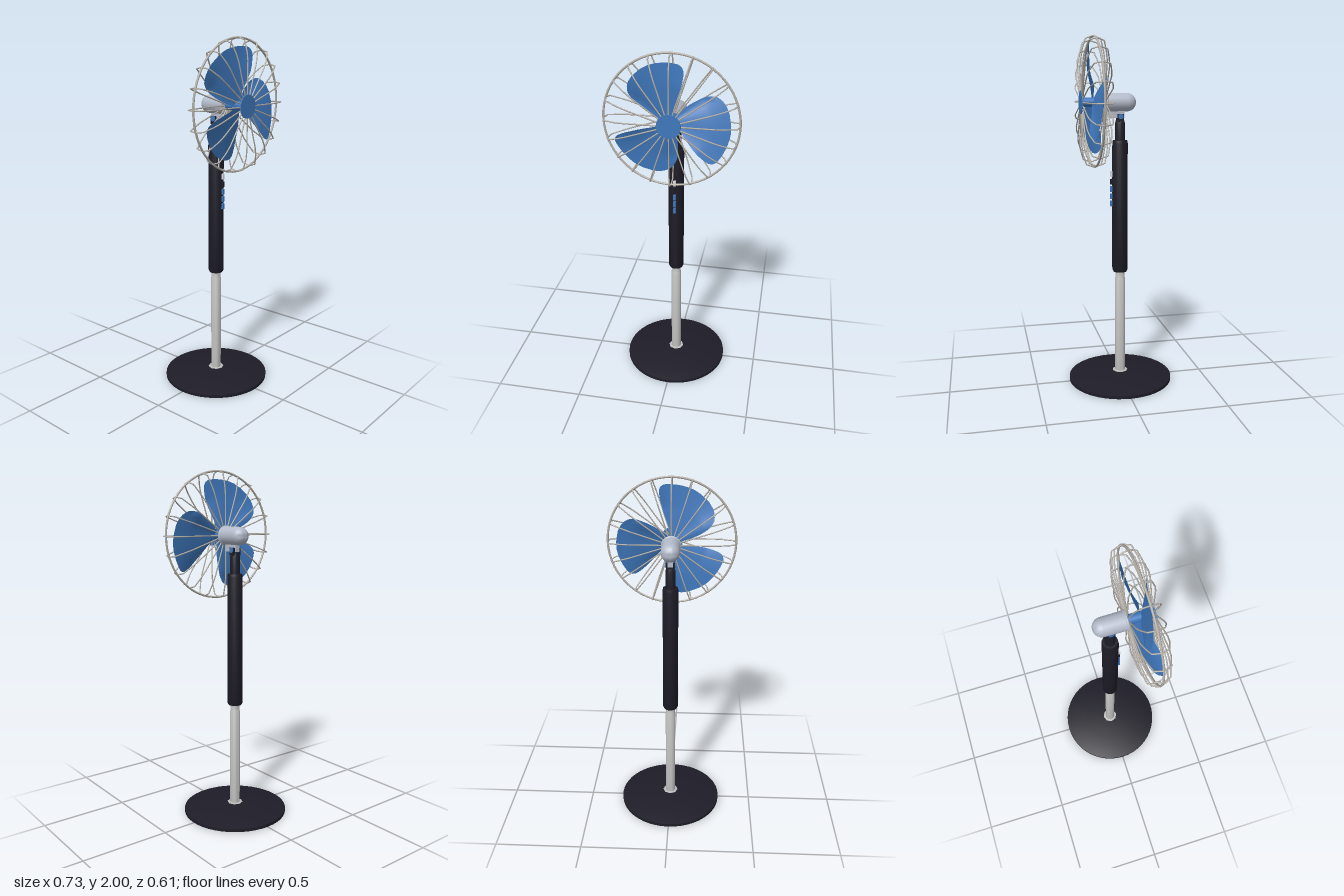
import * as THREE from 'three';
import { mergeGeometries, toCreasedNormals } from 'three/addons/utils/BufferGeometryUtils.js';

const mat = (name, color, side = THREE.FrontSide) => {
  const m = new THREE.MeshStandardMaterial({ color, side });
  m.name = name;
  return m;
};

// Solid of revolution around y from [radius, y] pairs, listed bottom to top
const lathe = (pts, seg = 32) =>
  toCreasedNormals(new THREE.LatheGeometry(pts.map(p => new THREE.Vector2(...p)), seg), 0.6);

// Straight rod between two points
function rod(a, b, r) {
  const d = b.clone().sub(a);
  const g = new THREE.CylinderGeometry(r, r, d.length(), 6);
  g.applyQuaternion(new THREE.Quaternion().setFromUnitVectors(new THREE.Vector3(0, 1, 0), d.normalize()));
  const m = a.clone().add(b).multiplyScalar(0.5);
  return g.translate(m.x, m.y, m.z);
}

// Linear interpolation in a short table of [x, a, b] rows
function lookup(rows, x, k) {
  let i = 0;
  while (i < rows.length - 2 && x > rows[i + 1][0]) i++;
  const t = (x - rows[i][0]) / (rows[i + 1][0] - rows[i][0]);
  return rows[i][k] + t * (rows[i + 1][k] - rows[i][k]);
}

// Twisted blade: a polar grid whose leading edge swings forward
function bladeGeometry() {
  const NR = 20, NA = 18, R0 = 0.02, R1 = 0.313;
  // radius, leading angle, trailing angle (degrees)
  const edges = [[0.02, -45, 60], [0.07, -42, 50], [0.13, -46, 44], [0.18, -47, 40], [0.23, -46.5, 36],
    [0.265, -45.5, 31], [0.285, -44.5, 25], [0.298, -43, 18], [0.306, -41.5, 9], [0.313, -38, -8]];
  const g = new THREE.PlaneGeometry(1, 1, NA, NR);
  const p = g.attributes.position;
  for (let i = 0; i < p.count; i++) {
    const u = p.getX(i) + 0.5, v = p.getY(i) + 0.5;
    const r = R0 + (R1 - R0) * (1 - (1 - v) ** 1.5);
    const lead = lookup(edges, r, 1), trail = lookup(edges, r, 2);
    const deg = trail + (lead - trail) * u, a = THREE.MathUtils.degToRad(deg);
    const s = THREE.MathUtils.clamp((deg + 8) / 37, -1.1, 1.1);
    const z = 0.157 - 0.037 * (0.65 * s + 0.35 * s ** 3) * Math.min(1, r / 0.2);
    p.setXYZ(i, r * Math.cos(a), r * Math.sin(a), z);
  }
  g.computeVertexNormals();
  return g;
}

export function createModel() {
  const dark = mat('dark plastic', 0x1e1d28);
  const steel = mat('pole steel', 0xbdbdbc);
  const wire = mat('cage wire', 0xb5b0a8);
  const grey = mat('motor grey', 0xb4bbca);
  const blue = mat('blue plastic', 0x3f78bd);
  const blueSheet = mat('blade blue', 0x3f78bd, THREE.DoubleSide);
  const pale = mat('display white', 0xe6e8f0);

  const model = new THREE.Group();
  const add = (name, geo, material, parent = model) => {
    const m = new THREE.Mesh(geo, material);
    m.name = name;
    parent.add(m);
    return m;
  };

  // Domed base with a shallow recess underneath
  add('base', lathe([[0, 0.006], [0.095, 0.006], [0.1, 0], [0.303, 0], [0.303, 0.018], [0.25, 0.029],
    [0.17, 0.039], [0.09, 0.046], [0, 0.048]], 48), dark);
  add('baseCollar', lathe([[0.045, 0.04], [0.045, 0.049], [0.028, 0.051]], 8), steel);

  // Pole and the sleeve around its top
  add('pole', lathe([[0.029, 0.04], [0.029, 0.62], [0.026, 0.625], [0.026, 0.67]], 24), steel);
  add('column', lathe([[0, 0.66], [0.038, 0.66], [0.044, 0.672], [0.044, 1.41], [0.041, 1.425], [0, 1.425]], 24), dark);
  add('neck', lathe([[0.028, 1.42], [0.028, 1.52], [0.023, 1.54], [0, 1.54]], 20), dark);
  add('controlPanel', new THREE.BoxGeometry(0.026, 0.71, 0.012).translate(0, 1.04, 0.039), dark);

  // Row of buttons down the front
  [[1.235, pale], [1.19, dark], [1.148, blue], [1.106, blue], [1.064, blue]].forEach(([y, m], i) =>
    add('button' + (i + 1), new THREE.BoxGeometry(0.014, 0.032, 0.014).translate(0, y, 0.05), m));

  // Tilting joint
  for (const s of [-1, 1])
    add('forkPlate', new THREE.BoxGeometry(0.009, 0.045, 0.036).translate(s * 0.02, 1.55, 0), dark);
  add('pivot', new THREE.CylinderGeometry(0.015, 0.015, 0.056, 20).rotateZ(Math.PI / 2).translate(0, 1.559, 0), blue);
  add('motorBracket', new THREE.BoxGeometry(0.03, 0.045, 0.09).translate(0, 1.572, 0.022), grey);

  // Fan head, built around its own axis
  const head = new THREE.Group();
  head.name = 'fanHead';
  head.position.y = 1.637;
  model.add(head);

  const motor = [];
  for (let i = 0; i <= 8; i++) {
    const a = i / 8 * Math.PI / 2;
    motor.push([0.051 * Math.sin(a), -0.04 - 0.051 * Math.cos(a)]);
  }
  motor.push([0.052, 0.073], [0.056, 0.076], [0.056, 0.084], [0, 0.086]);
  add('motor', lathe(motor, 24).rotateX(Math.PI / 2), grey, head);
  add('shaft', new THREE.CylinderGeometry(0.026, 0.026, 0.138, 24).rotateX(Math.PI / 2).translate(0, 0, 0.152), blue, head);
  add('hubCap', new THREE.CylinderGeometry(0.064, 0.064, 0.007, 32).rotateX(Math.PI / 2).translate(0, 0, 0.221), blue, head);

  // Three blades
  const blade = bladeGeometry();
  for (let i = 0; i < 3; i++)
    add('blade' + (i + 1), blade, blueSheet, head).rotation.z = i * Math.PI * 2 / 3;

  // Cage: ring and twenty bent wires, each [radius, z] from front to back
  add('cageRing', new THREE.TorusGeometry(0.357, 0.006, 8, 60).translate(0, 0, 0.153), wire, head);
  const bend = [[0.03, 0.219], [0.24, 0.219], [0.285, 0.213], [0.345, 0.194], [0.36, 0.153],
    [0.345, 0.109], [0.285, 0.094], [0.24, 0.087], [0.03, 0.087]];
  const rods = [];
  for (let i = 0; i < 20; i++) {
    const a = i * Math.PI / 10;
    const pts = bend.map(([r, z]) => new THREE.Vector3(r * Math.cos(a), r * Math.sin(a), z));
    for (let k = 1; k < pts.length; k++) rods.push(rod(pts[k - 1], pts[k], 0.0038));
  }
  add('cageWires', mergeGeometries(rods), wire, head);

  return model;
}
